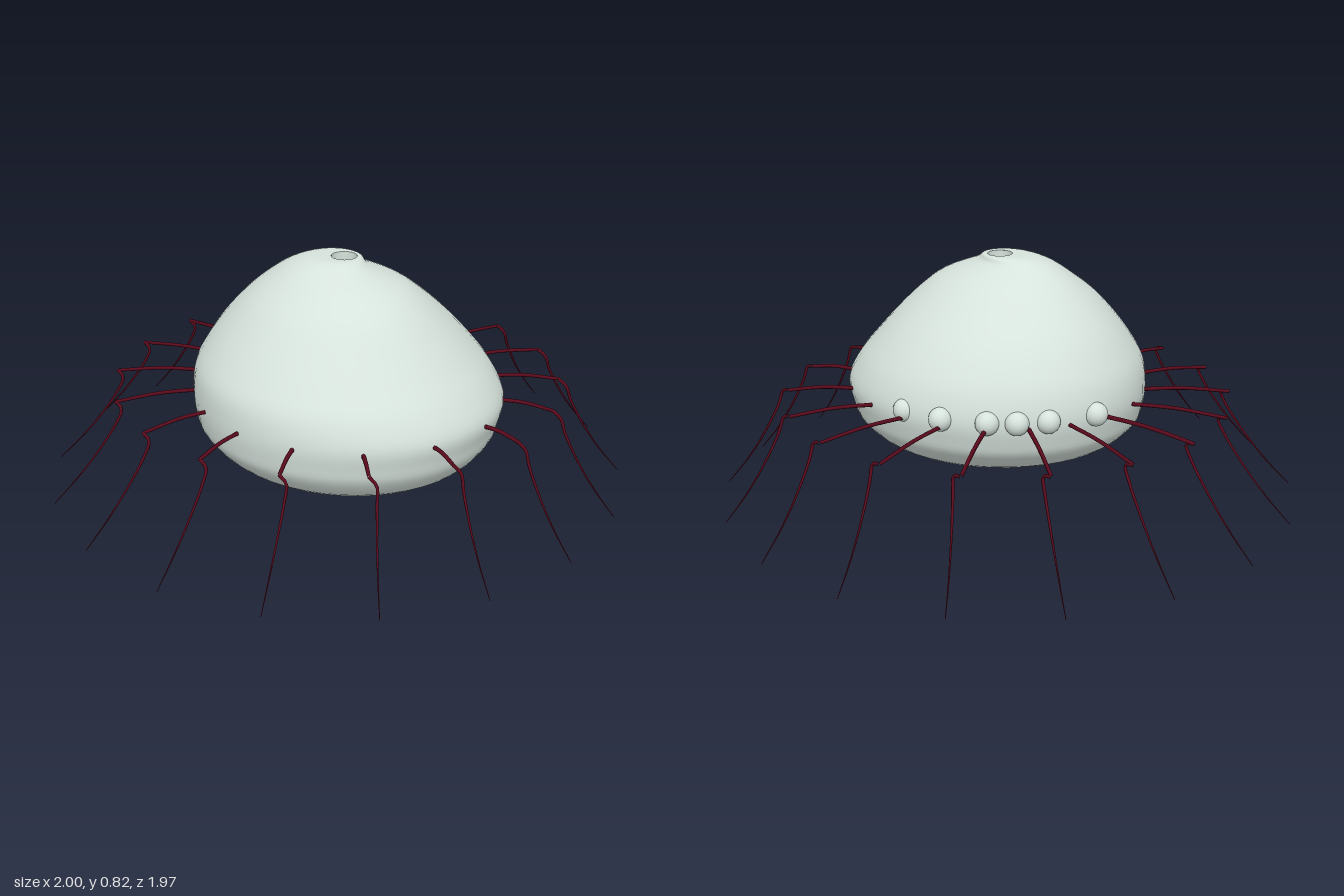
import * as THREE from 'three';

const shellMat = new THREE.MeshStandardMaterial({ color: 0xd6e2dc });
const pitMat = new THREE.MeshStandardMaterial({ color: 0xd6e2dc, side: THREE.DoubleSide });
const legMat = new THREE.MeshStandardMaterial({ color: 0x5c0a1c });

function mesh(name, geometry, material) {
  const m = new THREE.Mesh(geometry, material);
  m.name = name;
  return m;
}

// Body sections from the underside to the rim of the top hole: y, xMin, xMax, zMin, zMax
const sections = [
  [0.135, 0.10, 0.12, 0.06, 0.08],
  [0.138, -0.12, 0.42, -0.20, 0.36],
  [0.17, -0.30, 0.55, -0.32, 0.48],
  [0.24, -0.395, 0.62, -0.405, 0.55],
  [0.30, -0.42, 0.64, -0.43, 0.567],
  [0.37, -0.43, 0.65, -0.44, 0.57],
  [0.45, -0.415, 0.605, -0.415, 0.555],
  [0.52, -0.38, 0.545, -0.37, 0.51],
  [0.60, -0.325, 0.475, -0.30, 0.445],
  [0.68, -0.25, 0.40, -0.21, 0.37],
  [0.74, -0.18, 0.32, -0.13, 0.29],
  [0.79, -0.10, 0.20, -0.03, 0.21],
  [0.815, -0.03, 0.155, -0.01, 0.15],
  [0.817, 0.042, 0.128, 0.012, 0.098],
];

// Smooth loft through elliptical rings whose centres drift with height
function bodyGeometry(rings = 52, sides = 48) {
  const xs = new THREE.CatmullRomCurve3(sections.map(s => new THREE.Vector3(s[1], s[0], s[2])), false, 'catmullrom');
  const zs = new THREE.CatmullRomCurve3(sections.map(s => new THREE.Vector3(s[3], s[0], s[4])), false, 'catmullrom');
  const positions = [], index = [];
  for (let i = 0; i <= rings; i++) {
    const a = xs.getPoint(i / rings), b = zs.getPoint(i / rings);
    for (let j = 0; j < sides; j++) {
      const t = (j / sides) * Math.PI * 2;
      positions.push(
        (a.x + a.z) / 2 + ((a.z - a.x) / 2) * Math.cos(t),
        a.y,
        (b.x + b.z) / 2 - ((b.z - b.x) / 2) * Math.sin(t));
      if (i < rings) {
        const k = (j + 1) % sides, p = i * sides, q = p + sides;
        index.push(p + j, p + k, q + j, p + k, q + k, q + j);
      }
    }
  }
  // close the underside
  for (let j = 1; j < sides - 1; j++) index.push(0, j + 1, j);
  const g = new THREE.BufferGeometry();
  g.setAttribute('position', new THREE.Float32BufferAttribute(positions, 3));
  g.setIndex(index);
  g.computeVertexNormals();
  return g;
}

// Tube whose radius runs from r0 to r1
function taperedTube(points, r0, r1, steps, sides = 6) {
  const curve = new THREE.CatmullRomCurve3(points);
  const g = new THREE.TubeGeometry(curve, steps, 1, sides);
  const pos = g.attributes.position, v = new THREE.Vector3();
  for (let i = 0; i <= steps; i++) {
    const c = curve.getPointAt(i / steps), r = THREE.MathUtils.lerp(r0, r1, i / steps);
    for (let j = 0; j <= sides; j++) {
      const n = i * (sides + 1) + j;
      v.fromBufferAttribute(pos, n).sub(c).multiplyScalar(r).add(c);
      pos.setXYZ(n, v.x, v.y, v.z);
    }
  }
  return g;
}

// Distance from the origin to the widest body ring along an angle
function bodyRadius(angle) {
  const cx = 0.11, cz = 0.065, rx = 0.54, rz = 0.505;
  const dx = Math.cos(angle) / rx, dz = Math.sin(angle) / rz, ox = cx / rx, oz = cz / rz;
  const a = dx * dx + dz * dz, b = dx * ox + dz * oz, c = ox * ox + oz * oz - 1;
  return (b + Math.sqrt(b * b - a * c)) / a;
}

function createLeg(angle) {
  const at = (r, y, ox = 0, oz = 0) =>
    new THREE.Vector3(r * Math.cos(angle) + ox, y, r * Math.sin(angle) + oz);
  const start = bodyRadius(angle) - 0.025, knee = 0.77;
  const leg = new THREE.Group();
  leg.name = 'leg';
  leg.add(mesh('upperLeg', taperedTube(
    [at(start, 0.355), at((start + knee) / 2, 0.36), at(knee, 0.348)], 0.0075, 0.006, 10), legMat));
  // the shin steps sideways at the knee, then sweeps down to a fine tip
  leg.add(mesh('lowerLeg', taperedTube([
    at(knee, 0.348), at(knee, 0.335, 0.04, 0.01), at(0.79, 0.285, 0.037, 0.01),
    at(0.85, 0.185, 0.022, 0.005), at(0.92, 0.09, 0.008), at(1, 0)], 0.006, 0.0012, 28), legMat));
  return leg;
}

export function createModel() {
  const model = new THREE.Group();
  model.name = 'domedCrawler';

  model.add(mesh('body', bodyGeometry(), shellMat));

  // shallow round pit in the crown
  const pit = mesh('topHole', new THREE.LatheGeometry(
    [[0, -0.08], [0.043, -0.08], [0.043, -0.08], [0.043, 0]].map(p => new THREE.Vector2(...p)), 32), pitMat);
  pit.position.set(0.085, 0.817, 0.055);
  model.add(pit);

  // row of round eyes around one side of the rim
  const eyes = [[-0.415, -0.045], [-0.34, -0.2], [-0.275, -0.28], [-0.2, -0.34], [-0.06, -0.41], [0.09, -0.42]];
  for (const [x, z] of eyes) {
    const eye = mesh('eye', new THREE.SphereGeometry(0.04, 20, 14), shellMat);
    eye.position.set(x, 0.375, z);
    model.add(eye);
  }

  // eighteen evenly spaced legs
  for (let i = 0; i < 18; i++) model.add(createLeg((i / 18) * Math.PI * 2));

  return model;
}
